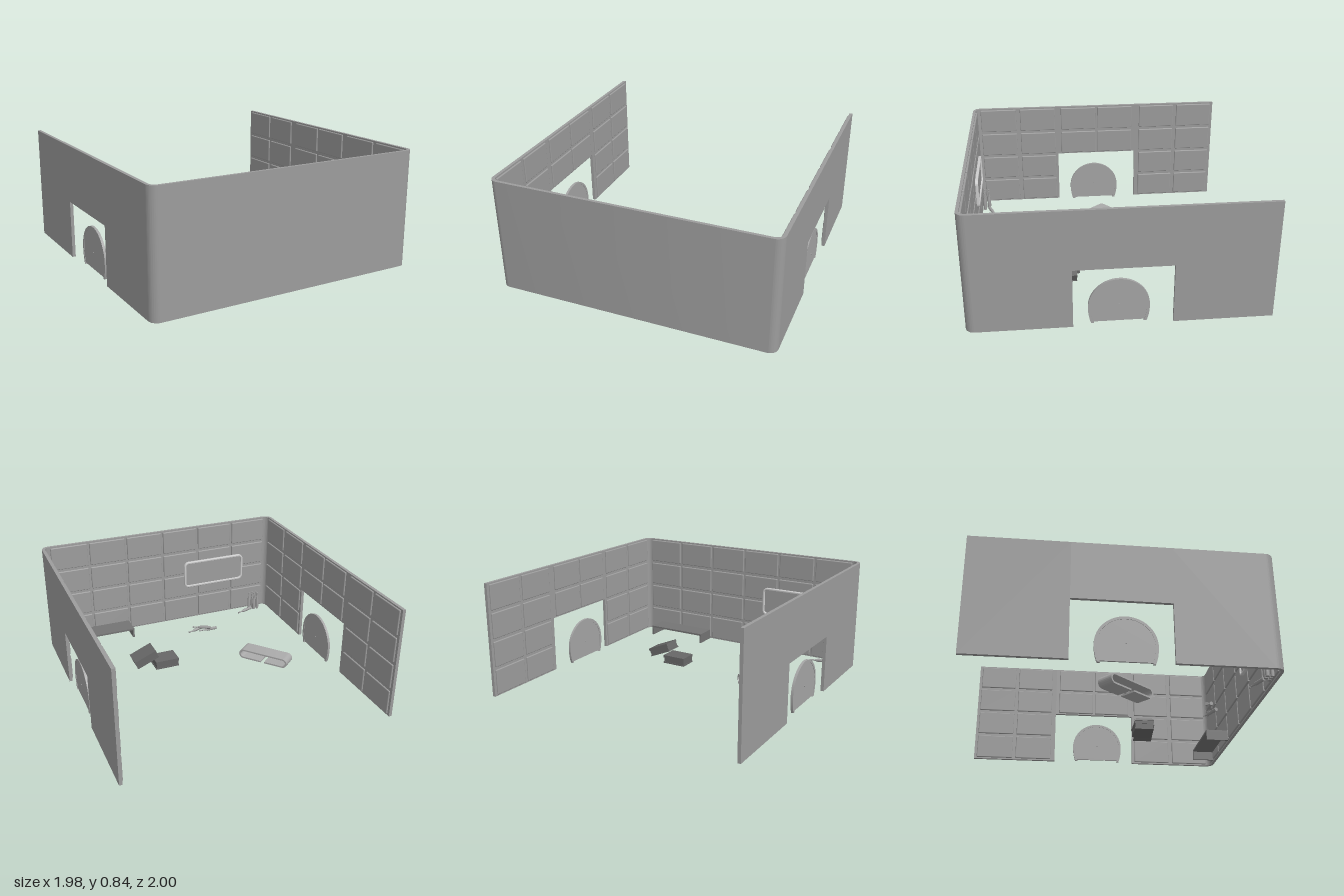
import * as THREE from 'three';
import { RoundedBoxGeometry } from 'three/addons/geometries/RoundedBoxGeometry.js';
import { toCreasedNormals } from 'three/addons/utils/BufferGeometryUtils.js';

const paint = (color) => new THREE.MeshStandardMaterial({ color, side: THREE.DoubleSide });
const WALL = paint(0x9c9c9c), DOOR = paint(0xa4a4a4), FRAME = paint(0xbcbcbc);
const BENCH = paint(0x747474), CRATE = paint(0x676767), SEAT = paint(0xaaaaaa);
const BASE = 0.014, TOP = 0.843, DOOR_TOP = 0.43, ROW = (TOP - BASE) / 4;

function add(parent, name, material, geometry, x = 0, y = 0, z = 0) {
  const mesh = new THREE.Mesh(geometry, material);
  mesh.name = name;
  mesh.position.set(x, y, z);
  parent.add(mesh);
  return mesh;
}
const box = (w, h, d) => new THREE.BoxGeometry(w, h, d);
const extrude = (shape, depth, bevel = 0) => toCreasedNormals(new THREE.ExtrudeGeometry(shape, {
  depth, curveSegments: 24, bevelEnabled: bevel > 0, bevelSize: bevel, bevelThickness: bevel, bevelOffset: -bevel,
}), 0.6);

function group(parent, name) {
  const g = new THREE.Group();
  g.name = name;
  parent.add(g);
  return g;
}

function roundedRect(target, w, h, r) {
  const x = w / 2, y = h / 2;
  target.absarc(x - r, y - r, r, 0, Math.PI / 2);
  target.absarc(r - x, y - r, r, Math.PI / 2, Math.PI);
  target.absarc(r - x, r - y, r, Math.PI, Math.PI * 1.5);
  target.absarc(x - r, r - y, r, Math.PI * 1.5, Math.PI * 2);
  target.closePath();
  return target;
}

function buildWalls(root) {
  const walls = group(root, 'walls');
  // U-shaped plan with rounded corners
  const s = new THREE.Shape();
  s.moveTo(0.99, 0.31);
  s.lineTo(0.99, 0.935);
  s.absarc(0.93, 0.935, 0.06, 0, Math.PI / 2);
  s.absarc(-0.93, 0.935, 0.06, Math.PI / 2, Math.PI);
  s.lineTo(-0.99, 0.31);
  s.lineTo(-0.967, 0.31);
  s.absarc(-0.927, 0.934, 0.04, Math.PI, Math.PI / 2, true);
  s.absarc(0.927, 0.934, 0.04, Math.PI / 2, 0, true);
  s.lineTo(0.967, 0.31);
  add(walls, 'frontWall', WALL, extrude(s, TOP - BASE).rotateX(Math.PI / 2), 0, TOP, 0);
  for (const side of [1, -1]) {
    add(walls, 'backWall', WALL, box(0.023, TOP - BASE, 0.66), side * 0.9785, (TOP + BASE) / 2, -0.67);
    add(walls, 'lintel', WALL, box(0.023, TOP - DOOR_TOP, 0.65), side * 0.9785, (TOP + DOOR_TOP) / 2, -0.015);
  }

  // Raised panels inside
  const panels = group(root, 'wallPanels');
  const columns = [-0.835, -0.52, -0.168, 0.137, 0.475, 0.795];
  for (let row = 0; row < 4; row++) {
    const y = BASE + (row + 0.5) * ROW;
    for (let i = 0; i < 6; i++) {
      add(panels, 'frontPanel', WALL, new RoundedBoxGeometry(0.292, ROW - 0.022, 0.02, 2, 0.006),
        (i - 2.5) * 0.31, y, 0.971);
      if (row < 2 && (i === 2 || i === 3)) continue;
      for (const side of [1, -1]) {
        add(panels, 'sidePanel', WALL, new RoundedBoxGeometry(0.02, ROW - 0.022, 0.288, 2, 0.006),
          side * 0.967, y, columns[i]);
      }
    }
  }
}

// Arched door: plate inside a rim that ends in two feet
function buildDoor(root, side) {
  const g = group(root, 'archedDoor');
  const R = 0.2, r = 0.182, foot = -0.12;
  const rim = new THREE.Shape();
  rim.absarc(0, 0, R, 0, Math.PI);
  rim.quadraticCurveTo(-R, -0.07, -0.18, foot);
  rim.lineTo(-0.162, foot);
  rim.quadraticCurveTo(-r, -0.07, -r, 0);
  rim.absarc(0, 0, r, Math.PI, 0, true);
  rim.quadraticCurveTo(r, -0.07, 0.162, foot);
  rim.lineTo(0.18, foot);
  rim.quadraticCurveTo(R, -0.07, R, 0);
  add(g, 'rim', DOOR, extrude(rim, 0.018), 0, 0, -0.009);
  const plate = new THREE.Shape();
  plate.absarc(0, 0, r, 0, Math.PI);
  plate.quadraticCurveTo(-r, -0.07, -0.165, -0.11);
  plate.lineTo(0.165, -0.11);
  plate.quadraticCurveTo(r, -0.07, r, 0);
  add(g, 'plate', DOOR, extrude(plate, 0.012), 0, 0, -0.006);
  add(g, 'knob', DOOR, new THREE.CylinderGeometry(0.005, 0.005, 0.022, 12).rotateX(Math.PI / 2), 0, 0.015, 0);
  g.rotation.y = side * Math.PI / 2;
  g.position.set(side * 0.953, 0.135, 0.012);
}

function buildBoard(root) {
  const g = group(root, 'wallBoard');
  const frame = roundedRect(new THREE.Shape(), 0.54, 0.23, 0.04);
  frame.holes.push(roundedRect(new THREE.Path(), 0.506, 0.196, 0.023));
  add(g, 'frame', FRAME, extrude(frame, 0.016, 0.005), 0, 0, 0.005);
  add(g, 'surface', WALL, extrude(roundedRect(new THREE.Shape(), 0.515, 0.205, 0.03), 0.012), 0, 0, 0.013);
  g.position.set(-0.455, 0.43, 0.94);
}

function buildBench(root) {
  const g = group(root, 'bench');
  add(g, 'benchTop', BENCH, box(0.5, 0.014, 0.166), 0.572, 0.087, 0.883);
  for (const x of [0.329, 0.815]) add(g, 'benchLeg', BENCH, box(0.014, 0.068, 0.166), x, 0.048, 0.883);
}

// Bent-plate seat: flattened loop with a gap underneath
function buildSeat(root) {
  const L = 0.165, R = 0.038, t = 0.012, gap = 0.015, q = Math.PI / 2;
  const s = new THREE.Shape();
  s.moveTo(gap, 0);
  s.lineTo(L, 0);
  s.absarc(L, R, R, -q, q);
  s.absarc(-L, R, R, q, 3 * q);
  s.lineTo(-gap, 0);
  s.lineTo(-gap, t);
  s.absarc(-L, R, R - t, 3 * q, q, true);
  s.absarc(L, R, R - t, q, -q, true);
  s.lineTo(gap, t);
  const seat = add(root, 'loopSeat', SEAT, extrude(s, 0.12).translate(0, 0, -0.06), -0.533, 0, 0.065);
  seat.rotation.y = -Math.atan2(0.31, 0.26);
}

function buildCrate(root, x, y, z, tilt) {
  const g = group(root, 'crate');
  add(g, 'crateBody', CRATE, box(0.178, 0.044, 0.134), 0, -0.01, 0);
  add(g, 'crateLid', CRATE, box(0.186, 0.02, 0.14), 0, 0.022, 0);
  add(g, 'crateFoot', CRATE, box(0.186, 0.01, 0.14), 0, -0.028, 0);
  g.position.set(x, y, z);
  g.rotation.z = tilt;
}

const bottleGeometry = toCreasedNormals(new THREE.LatheGeometry(
  [[0, 0], [0.013, 0], [0.013, 0.085], [0.006, 0.11], [0.005, 0.145], [0.007, 0.145], [0.007, 0.152], [0, 0.152]]
    .map(([r, y]) => new THREE.Vector2(r, y)), 14), 0.6);

function bottle(parent, base, direction) {
  const b = add(parent, 'bottle', WALL, bottleGeometry, ...base);
  b.quaternion.setFromUnitVectors(new THREE.Vector3(0, 1, 0), new THREE.Vector3(...direction).normalize());
}

export function createModel() {
  const root = new THREE.Group();
  root.name = 'room';
  buildWalls(root);
  for (const side of [1, -1]) buildDoor(root, side);
  buildBoard(root);
  buildBench(root);
  buildSeat(root);
  buildCrate(root, 0.236, 0.047, 0.29, 0);
  buildCrate(root, 0.393, 0.1, 0.32, -0.4);

  // Bottles: standing, then lying
  const bottles = group(root, 'bottles');
  for (const [x, z] of [[-0.865, 0.912], [-0.832, 0.912], [-0.865, 0.945], [-0.832, 0.945], [-0.799, 0.945]])
    bottle(bottles, [x, 0.014, z], [0, 1, 0]);
  bottle(bottles, [-0.8, 0.027, 0.91], [0.14, 0, -0.05]);
  bottle(bottles, [-0.365, 0.027, 0.673], [1, 0, 0]);
  bottle(bottles, [-0.303, 0.05, 0.655], [0.115, -0.01, 0.075]);
  bottle(bottles, [-0.262, 0.027, 0.732], [0.14, 0, -0.052]);
  return root;
}
